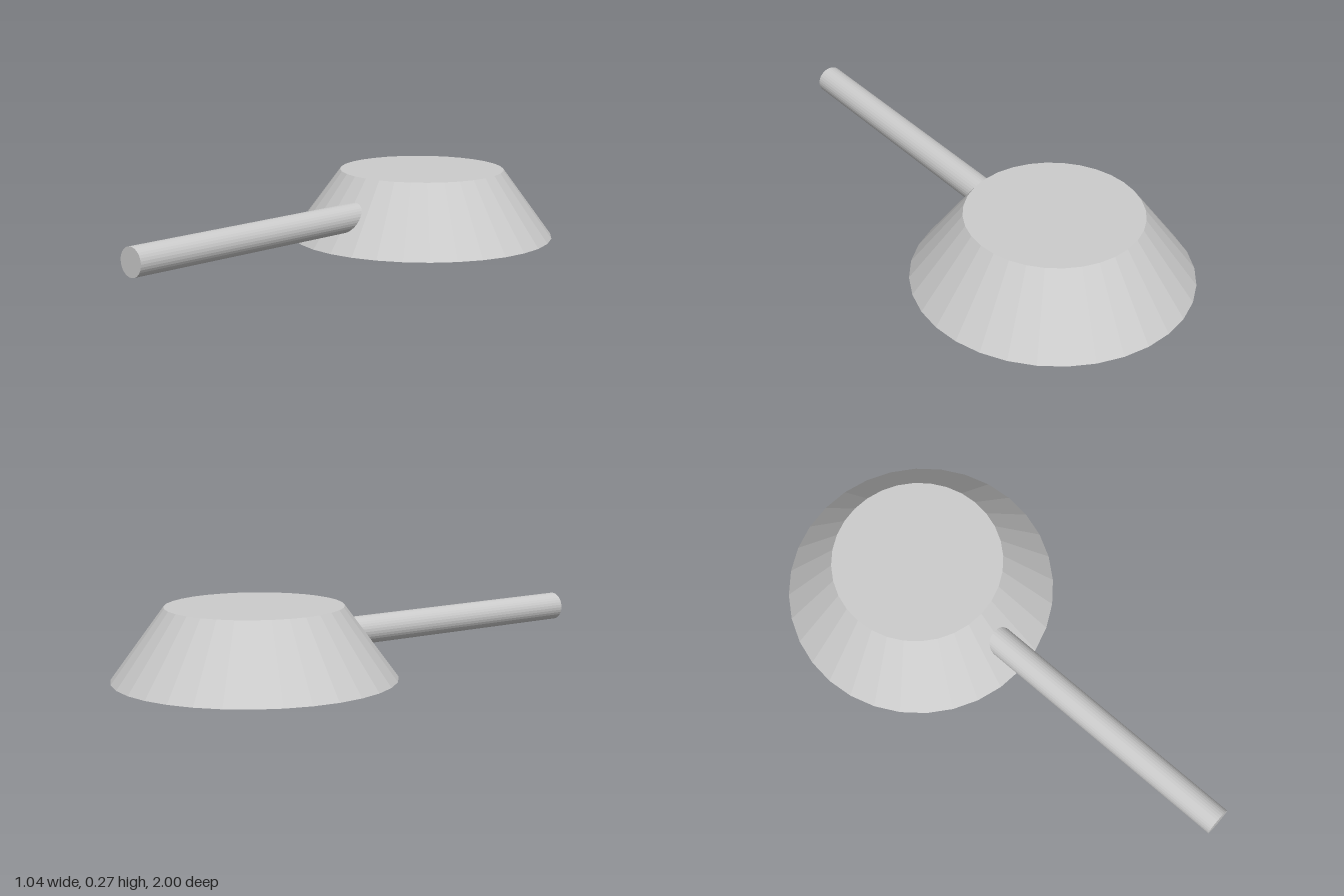
import * as THREE from 'three';

export function createModel() {
  const group = new THREE.Group();
  const material = new THREE.MeshStandardMaterial({ color: 0xcccccc, flatShading: true });

  // Tapered round body, closed at top and bottom
  const height = 0.266;
  const body = new THREE.Mesh(new THREE.CylinderGeometry(0.326, 0.521, height, 32), material);
  body.name = 'body';
  body.position.set(0, height / 2, -0.479);
  group.add(body);

  // Straight round handle, its inner end sunk into the body's sloping wall
  const innerZ = -0.15, outerZ = 1;
  const handle = new THREE.Mesh(
    new THREE.CylinderGeometry(0.054, 0.054, outerZ - innerZ, 32), material);
  handle.name = 'handle';
  handle.rotation.x = Math.PI / 2;
  handle.position.set(0.004, 0.127, (innerZ + outerZ) / 2);
  group.add(handle);

  return group;
}
